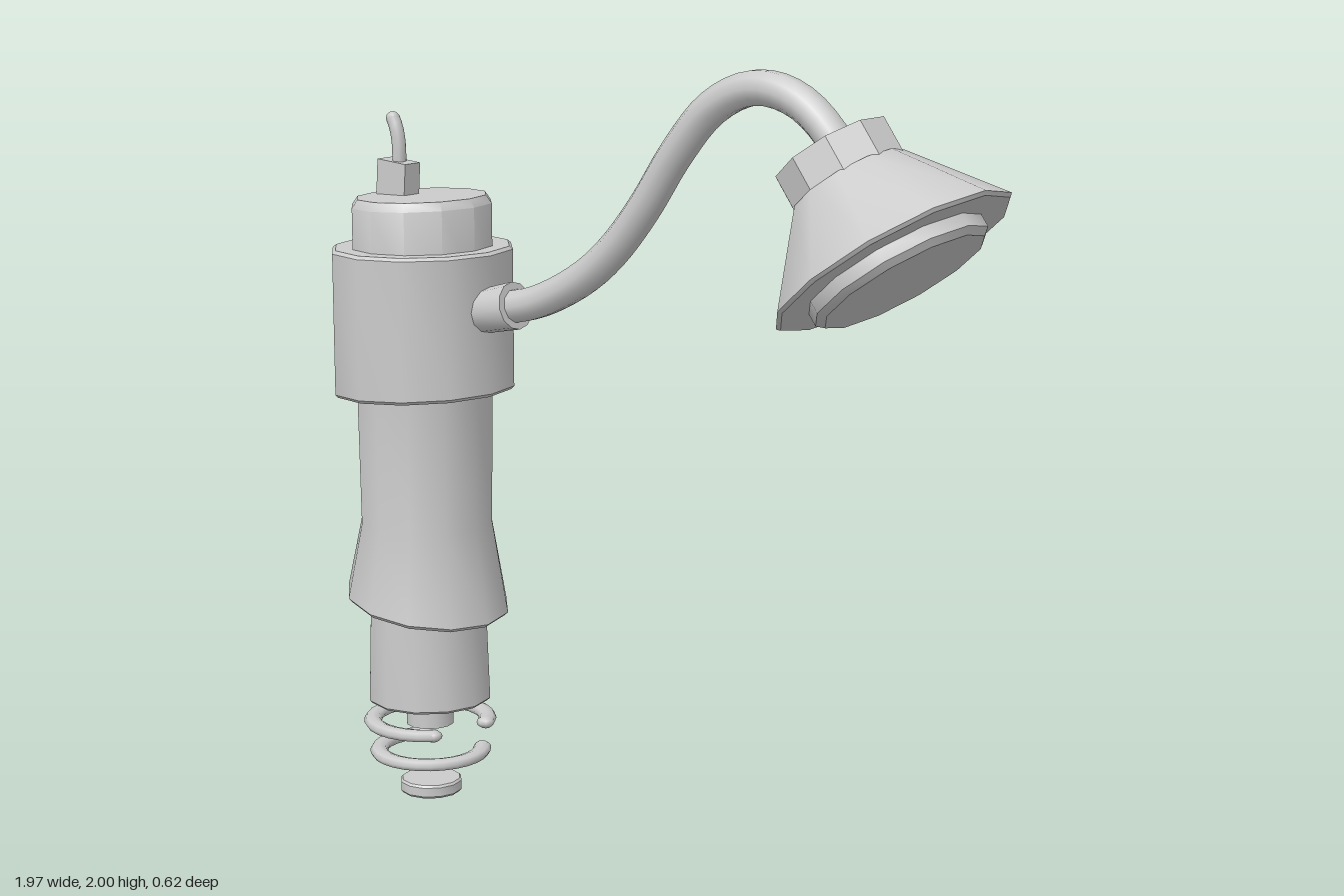
import * as THREE from 'three';
import { toCreasedNormals } from 'three/addons/utils/BufferGeometryUtils.js';

const material = new THREE.MeshStandardMaterial({ color: 0xcccccc });
const CREASE = 0.62;

function add(parent, name, geometry) {
  const mesh = new THREE.Mesh(geometry, material);
  mesh.name = name;
  parent.add(mesh);
  return mesh;
}

// Turned part from [radius, y, slope] rows; slope tilts that ring along x.
function turned(rows, sides = 12) {
  const geo = new THREE.LatheGeometry(rows.map(([r, y]) => new THREE.Vector2(r, y)), sides);
  const pos = geo.attributes.position;
  for (let i = 0; i < pos.count; i++) {
    const slope = rows[i % rows.length][2] || 0;
    pos.setY(i, pos.getY(i) + slope * pos.getX(i));
  }
  return toCreasedNormals(geo, CREASE);
}

function tube(points, radius, segments, sides) {
  const curve = new THREE.CatmullRomCurve3(points.map(([x, y]) => new THREE.Vector3(x, y, 0)));
  return new THREE.TubeGeometry(curve, segments, radius, sides);
}

// Flattened open ring; angles run from +x towards +z.
function openRing(radius, from, to) {
  const geo = new THREE.TorusGeometry(radius - 0.024, 0.024, 8, 20, to - from);
  geo.rotateX(Math.PI / 2);
  geo.rotateY(-from);
  geo.scale(1, 0.68, 1);
  return geo;
}

export function createModel() {
  const model = new THREE.Group();
  model.name = 'gooseneckLamp';

  // Upright body
  const body = new THREE.Group();
  body.name = 'body';
  body.position.x = -0.747;
  model.add(body);

  add(body, 'topCap', turned([
    [0.185, 1.4], [0.185, 1.585, 0.04], [0.17, 1.607, 0.04], [0, 1.607],
  ]));
  add(body, 'collar', turned([
    [0, 1.098], [0.232, 1.098, 0.05], [0.239, 1.106, 0.05],
    [0.239, 1.47, 0.02], [0.23, 1.478, 0.02], [0, 1.478],
  ]));
  add(body, 'flaredBarrel', turned([
    [0, 0.53], [0.205, 0.524, -0.16], [0.216, 0.535, -0.16],
    [0.176, 0.75], [0.181, 1.13], [0, 1.13],
  ]));
  add(body, 'lowerSleeve', turned([
    [0, 0.26], [0.158, 0.26], [0.165, 0.267], [0.155, 0.58], [0, 0.58],
  ]));
  add(body, 'shaft', turned([[0, 0.19], [0.064, 0.19], [0.064, 0.28], [0, 0.28]]));

  // Open rings and foot below the sleeve
  const rings = [
    ['upperRing', 0.177, 0.2, 0.75, 5.8],
    ['lowerRing', 0.162, 0.115, -0.8, 3.8],
  ];
  for (const [name, radius, y, from, to] of rings) {
    const ring = add(body, name, openRing(radius, from, to));
    ring.position.y = y;
    for (const a of [from, to]) {
      const end = add(ring, 'ringEnd', new THREE.SphereGeometry(0.024, 8, 6));
      end.scale.y = 0.68;
      end.position.set(Math.cos(a) * (radius - 0.024), 0, Math.sin(a) * (radius - 0.024));
    }
  }
  add(body, 'foot', turned([
    [0, 0], [0.078, 0], [0.083, 0.006], [0.083, 0.03], [0.078, 0.036], [0, 0.036],
  ]));

  // Cable block and cable stub on the cap
  const block = add(model, 'cableBlock', new THREE.BoxGeometry(0.1, 0.1, 0.055));
  block.position.set(-0.83, 1.64, 0);
  block.rotation.z = -0.07;
  add(model, 'cable', tube([[-0.825, 1.66], [-0.825, 1.73], [-0.832, 1.77], [-0.845, 1.8]], 0.018, 8, 8));
  add(model, 'cableTip', new THREE.SphereGeometry(0.018, 8, 6)).position.set(-0.845, 1.798, 0);

  // Arm socket and curved arm
  const socket = add(model, 'armSocket',
    toCreasedNormals(new THREE.CylinderGeometry(0.061, 0.056, 0.13, 12), CREASE));
  socket.position.set(-0.485, 1.342, 0);
  socket.rotation.z = -Math.PI / 2 + 0.24;
  add(model, 'arm', tube([
    [-0.48, 1.345], [-0.35, 1.375], [-0.2, 1.45], [-0.1, 1.53], [0, 1.645],
    [0.1, 1.785], [0.2, 1.895], [0.3, 1.95], [0.38, 1.96], [0.47, 1.935],
    [0.55, 1.875], [0.62, 1.78],
  ], 0.043, 40, 10));

  // Lamp head, its local +y pointing along the light
  const head = new THREE.Group();
  head.name = 'lampHead';
  head.position.set(0.56, 1.83, 0);
  head.rotation.z = Math.atan2(-0.6, -0.8);
  model.add(head);
  add(head, 'headNeck', turned([[0, 0], [0.147, 0], [0.147, 0.1], [0, 0.1]], 10));
  add(head, 'shade', turned([[0, 0.085], [0.147, 0.085], [0.308, 0.295], [0.3, 0.303], [0, 0.303]]));
  add(head, 'lens', turned([[0.225, 0.29], [0.225, 0.335], [0.208, 0.35], [0, 0.35]]));

  return model;
}
